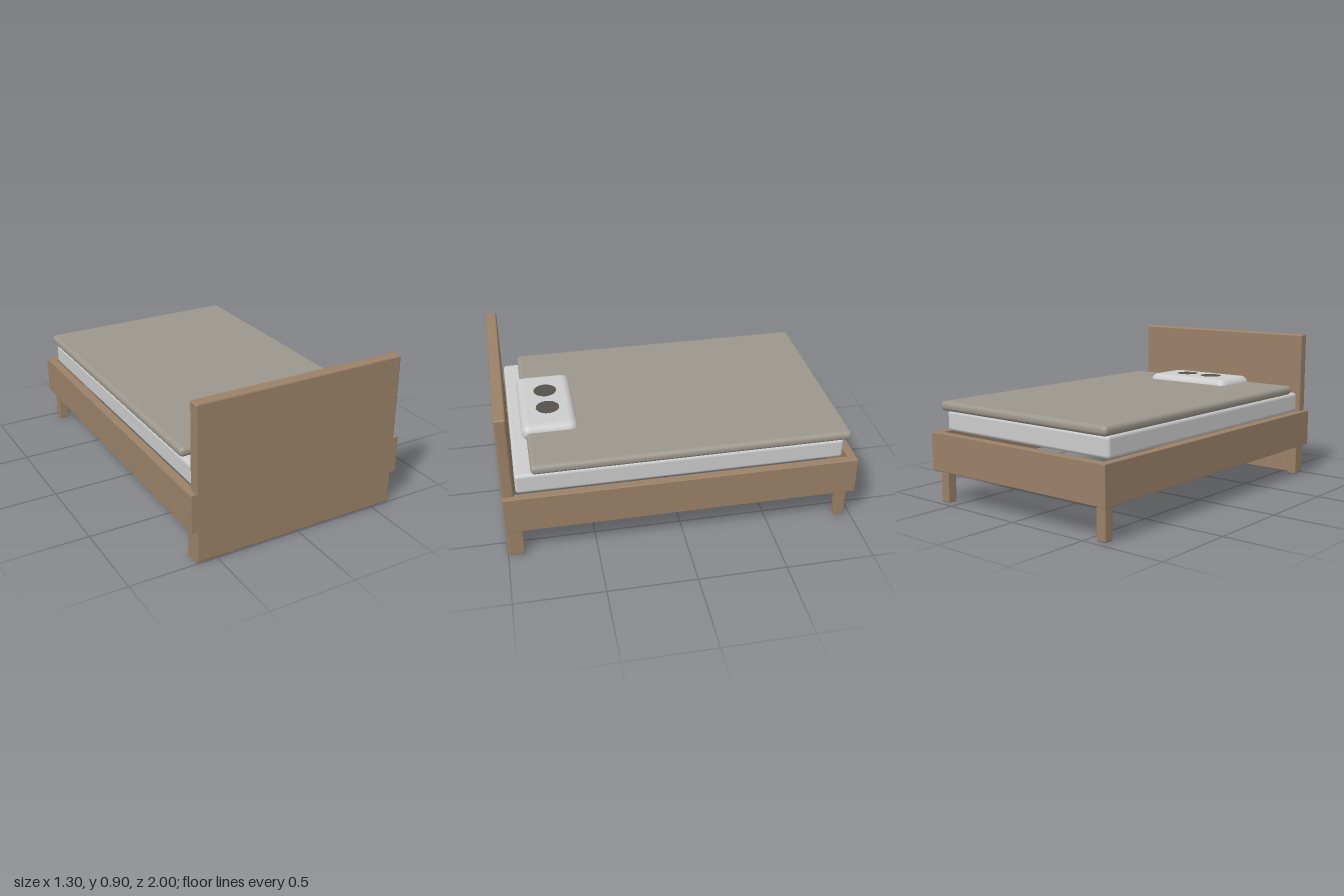
import * as THREE from 'three';
import { RoundedBoxGeometry } from 'three/addons/geometries/RoundedBoxGeometry.js';

const material = (color) => new THREE.MeshStandardMaterial({ color });

export function createModel() {
  const bed = new THREE.Group();
  bed.name = 'bed';
  const wood = material(0x9a8068);
  const cloth = material(0xcccccc);
  const blanket = material(0x9c978d);
  const dark = material(0x55504c);

  // Soft-edged box given by its minimum and maximum corners
  function block(name, min, max, radius, mat, segments = 2) {
    const size = max.map((v, i) => v - min[i]);
    const mesh = new THREE.Mesh(new RoundedBoxGeometry(...size, segments, radius), mat);
    mesh.position.set(...max.map((v, i) => (v + min[i]) / 2));
    mesh.name = name;
    bed.add(mesh);
  }

  // Headboard and open frame
  block('headboard', [-0.62, 0, 0.935], [0.62, 0.9, 1], 0.012, wood);
  block('footRail', [-0.65, 0.19, -1], [0.65, 0.41, -0.95], 0.004, wood);
  for (const [side, s] of [['left', 1], ['right', -1]]) {
    const x = s * 0.625;
    block(side + 'SideRail', [x - 0.025, 0.19, -1], [x + 0.025, 0.41, 1], 0.004, wood);

    // Legs inside the frame corners
    for (const [end, z] of [['Head', 0.935], ['Foot', -0.935]]) {
      const lx = s * 0.59;
      block(side + end + 'Leg', [lx - 0.03, 0, z - 0.03], [lx + 0.03, 0.21, z + 0.03], 0.008, wood);
    }
  }

  // Bedding
  block('mattress', [-0.605, 0.41, -0.92], [0.605, 0.53, 0.925], 0.02, cloth, 4);
  block('duvet', [-0.62, 0.53, -0.96], [0.62, 0.585, 0.835], 0.025, blanket, 4);
  block('pillow', [-0.295, 0.52, 0.54], [0.295, 0.62, 0.86], 0.048, cloth, 6);

  // Dark round patches on the pillow
  for (const s of [1, -1]) {
    const patch = new THREE.Mesh(new THREE.CircleGeometry(0.067, 24), dark);
    patch.rotation.x = -Math.PI / 2;
    patch.position.set(s * 0.093, 0.622, 0.697);
    patch.name = s > 0 ? 'leftPillowPatch' : 'rightPillowPatch';
    bed.add(patch);
  }
  return bed;
}
